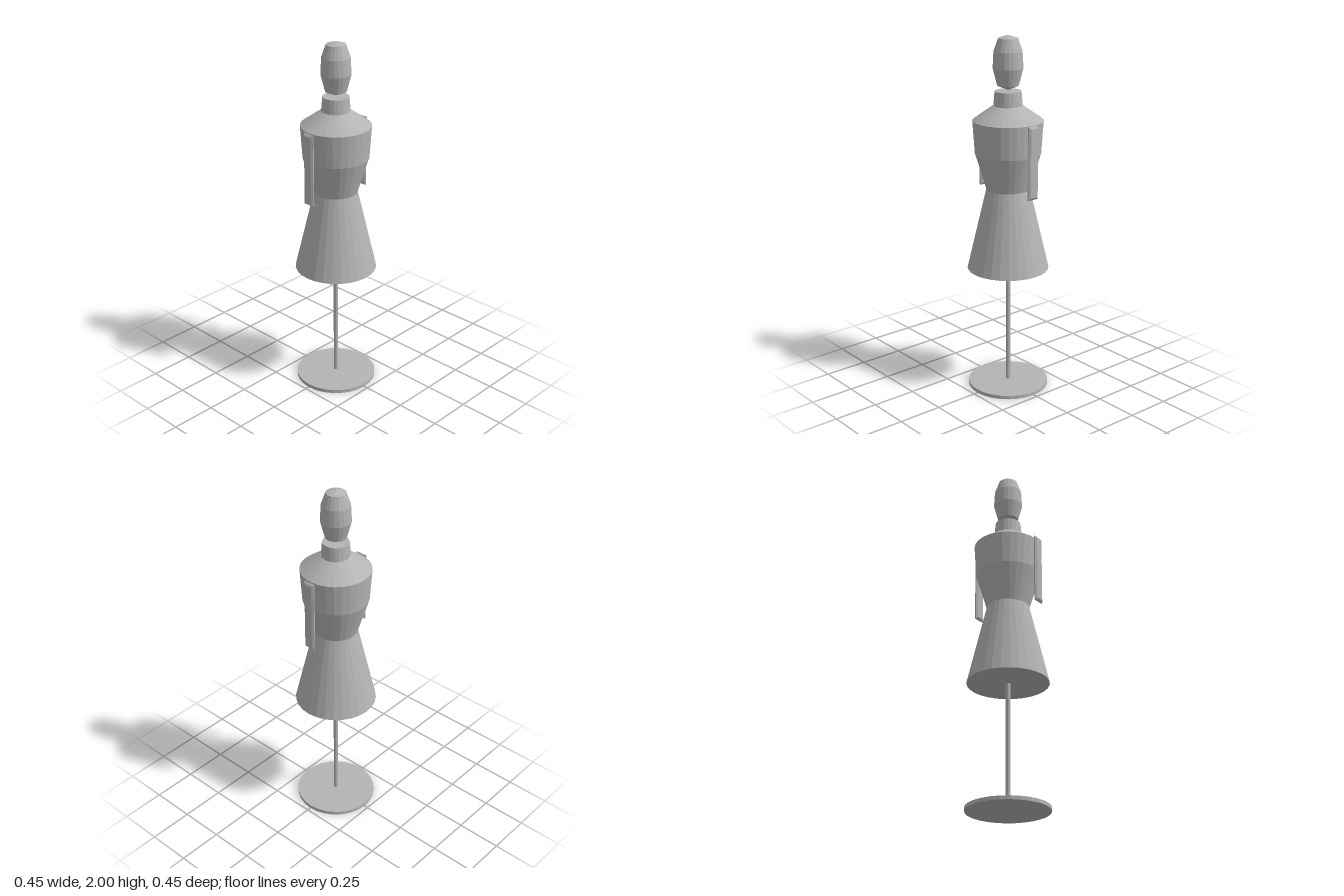
import * as THREE from 'three';

export function createModel() {
  const model = new THREE.Group();
  model.name = 'dressFormMannequin';

  const grey = new THREE.MeshStandardMaterial({ color: 0xb4b4b4, flatShading: true });
  grey.name = 'plain grey';

  const add = (name, geometry) => {
    const mesh = new THREE.Mesh(geometry, grey);
    mesh.name = name;
    model.add(mesh);
    return mesh;
  };

  // Turned parts: profiles are [radius, height] pairs from bottom to top
  const turned = (name, profile, sides) =>
    add(name, new THREE.LatheGeometry(profile.map(([r, y]) => new THREE.Vector2(r, y)), sides));

  // Stand
  turned('base', [[0, 0], [0.226, 0], [0.226, 0.02], [0.13, 0.022], [0, 0.024]], 28);
  turned('pole', [[0.013, 0.018], [0.013, 0.71]], 12);

  // Body
  turned('skirt', [[0, 0.708], [0.226, 0.708], [0.119, 1.163]], 28);
  turned('torso', [[0.119, 1.163], [0.18, 1.365], [0.192, 1.545]], 28);
  turned('shoulders', [[0.192, 1.545], [0.079, 1.625]], 28);
  turned('neck', [[0.079, 1.625], [0.072, 1.703], [0, 1.703]], 20);

  // Head, pointed slightly at the top and chin
  turned('head', [
    [0, 1.708], [0.058, 1.732], [0.082, 1.825], [0.077, 1.915], [0.053, 1.983], [0, 2]
  ], 20);

  // Arms: flat upright slats with chamfered edges
  const chamfer = 0.011, halfZ = 0.033, bottom = 1.145, top = 1.545;
  const slat = new THREE.Shape();
  slat.moveTo(-halfZ + chamfer, bottom + chamfer);
  slat.lineTo(halfZ - chamfer, bottom + chamfer);
  slat.lineTo(halfZ - chamfer, top - chamfer);
  slat.lineTo(-halfZ + chamfer, top - chamfer);
  slat.closePath();
  const armGeometry = new THREE.ExtrudeGeometry(slat, {
    depth: 0.006, bevelEnabled: true, bevelSegments: 1, bevelSize: chamfer, bevelThickness: 0.008
  });
  armGeometry.translate(0, 0, -0.003);
  armGeometry.rotateY(Math.PI / 2);
  for (const side of [1, -1]) {
    add(side > 0 ? 'leftArm' : 'rightArm', armGeometry).position.x = side * 0.204;
  }

  return model;
}
